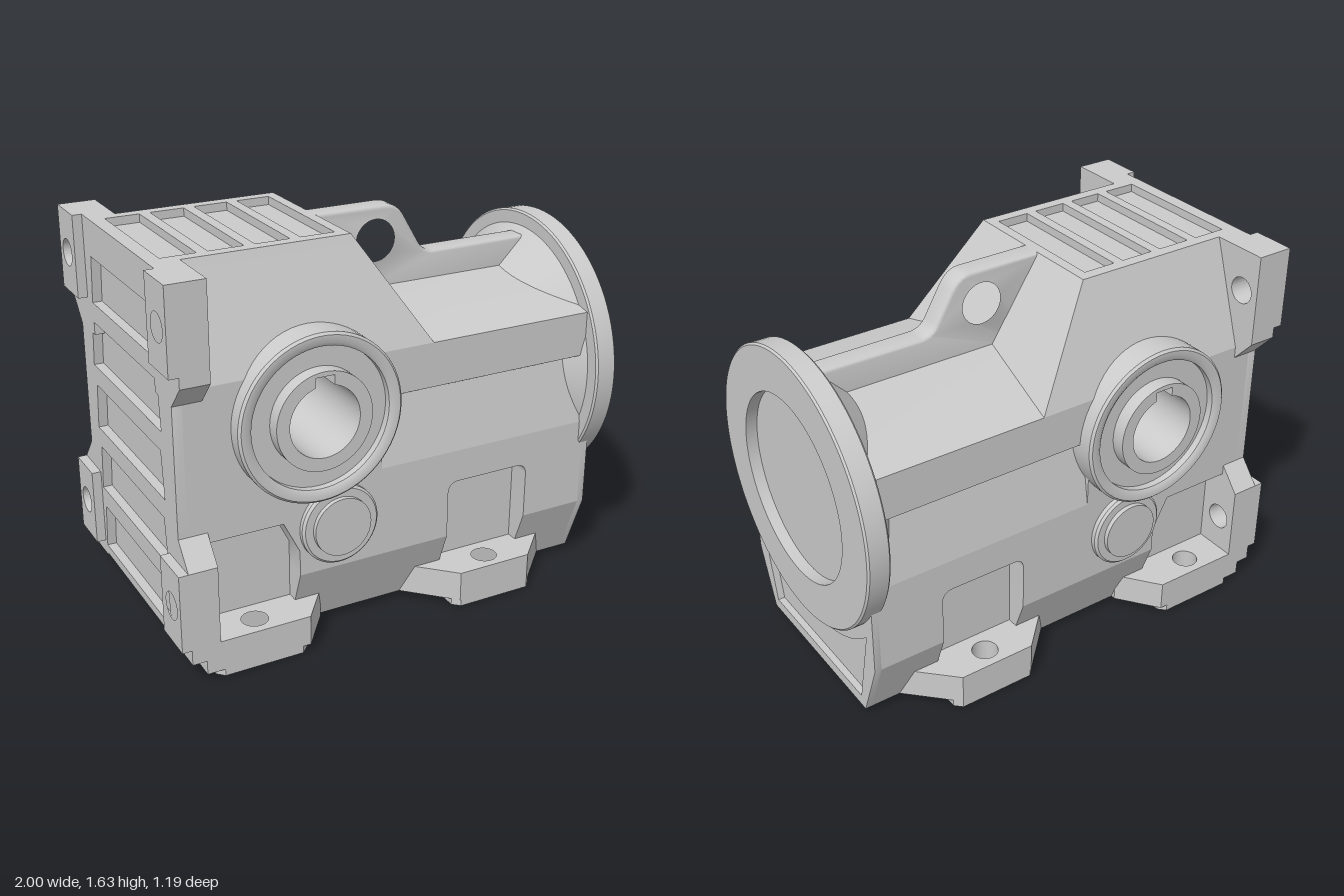
import * as THREE from 'three';
import { toCreasedNormals } from 'three/addons/utils/BufferGeometryUtils.js';
import { ConvexGeometry } from 'three/addons/geometries/ConvexGeometry.js';

const material = new THREE.MeshStandardMaterial({ color: 0xcccccc });

const circle = (x, y, r) => new THREE.Path().absarc(x, y, r, 0, Math.PI * 2, true);
const poly = (pts) => new THREE.Path(pts.map(([x, y]) => new THREE.Vector2(x, y)));
const rect = (x0, y0, x1, y1) => poly([[x0, y0], [x1, y0], [x1, y1], [x0, y1], [x0, y0]]);
// full outline from its +z half
const mirrored = (half) => [...half, ...half.map(([z, y]) => [-z, y]).reverse()];

function shapeOf(pts, holes = []) {
  const s = new THREE.Shape(pts.map(([x, y]) => new THREE.Vector2(x, y)));
  s.holes.push(...holes);
  return s;
}

export function createModel() {
  const model = new THREE.Group();

  function add(name, geometry) {
    const mesh = new THREE.Mesh(toCreasedNormals(geometry, 0.6), material);
    mesh.name = name;
    model.add(mesh);
    return mesh;
  }
  const extrude = (shape, depth) =>
    new THREE.ExtrudeGeometry(shape, { depth, bevelEnabled: false, curveSegments: 32 });
  const alongZ = (shape, z0, z1) => extrude(shape, z1 - z0).translate(0, 0, z0);
  const alongX = (shape, x0, x1) => extrude(shape, x1 - x0).rotateY(Math.PI / 2).translate(x0, 0, 0);
  const alongY = (shape, y0, y1) => extrude(shape, y1 - y0).rotateX(Math.PI / 2).translate(0, y1, 0);

  // Lower core with a rounded notch under the left end
  const core = new THREE.Shape();
  core.moveTo(-0.89, 0.03).lineTo(0.92, 0.03).lineTo(0.92, 0.7).lineTo(-0.92, 0.7).lineTo(-0.92, 0.1);
  core.quadraticCurveTo(-0.89, 0.09, -0.89, 0.06);
  add('lowerCore', alongZ(core, -0.4, 0.4));

  // Middle housing around the bore, and the recessed section towards the flange
  const hx = -0.38, hy = 0.995;
  add('middleHousing', alongZ(shapeOf(
    [[-0.92, 0.69], [-0.08, 0.69], [-0.08, 1.19], [-0.92, 1.19]], [circle(hx, hy, 0.19)]), -0.5, 0.5));
  add('neckHousing', alongX(shapeOf(mirrored(
    [[0.5, 0.69], [0.45, 0.975], [0.5, 1.0], [0.5, 1.19], [0.05, 1.29]])), -0.1, 0.92));

  // Tapered upper block
  const upper = [];
  for (const s of [-1, 1]) {
    for (const [x, y, z] of [[-0.92, 1.19, 0.5], [0.15, 1.19, 0.5], [-0.92, 1.6, 0.357], [-0.117, 1.6, 0.357]])
      upper.push(new THREE.Vector3(x, y, s * z));
  }
  add('upperBlock', new ConvexGeometry(upper));

  // Top cover with four shallow pockets, flared to meet the block
  const pockets = [-0.9, -0.71, -0.52, -0.33].map((x) => rect(x, -0.295, x + 0.145, 0.295));
  const cover = alongY(shapeOf([[-0.96, -0.345], [-0.14, -0.345], [-0.14, 0.345], [-0.96, 0.345]], pockets), 1.6, 1.635);
  const p = cover.attributes.position;
  for (let i = 0; i < p.count; i++) {
    if (p.getY(i) > 1.61) continue;
    if (Math.abs(p.getZ(i)) > 0.32) p.setZ(i, p.getZ(i) * 1.035);
    if (p.getX(i) > -0.16) p.setX(i, -0.117);
  }
  add('topCover', cover);

  // Left end wall with horizontal slots
  const slots = [0, 1, 2, 3, 4].map((i) => {
    const y = 0.24 + i * 0.285, w = y > 1.3 ? 0.34 : 0.38;
    return poly([[-w, y - 0.1], [w, y - 0.1], [w - 0.02, y + 0.1], [-w + 0.02, y + 0.1], [-w, y - 0.1]]);
  });
  add('slottedEndWall', alongX(shapeOf(mirrored(
    [[0.4, 0.1], [0.4, 0.57], [0.5, 0.57], [0.5, 1.19], [0.357, 1.6]]), slots), -0.96, -0.92));

  // Right end frame around a recessed panel
  const panel = new THREE.Path();
  panel.moveTo(-0.37, 0.08).lineTo(0.37, 0.08).lineTo(0.447, 0.442);
  panel.absarc(0, 0.907, 0.645, -0.805, -Math.PI + 0.805, true);
  panel.lineTo(-0.37, 0.08);
  add('endFrame', alongX(shapeOf(mirrored([[0.4, 0.03], [0.5, 0.3], [0.5, 0.6]]), [panel]), 0.92, 0.95));

  // Lifting rib with eye
  const rib = new THREE.Shape();
  rib.moveTo(-0.16, 1.2).lineTo(-0.16, 1.62).lineTo(0.18, 1.62).quadraticCurveTo(0.23, 1.62, 0.26, 1.57);
  rib.lineTo(0.33, 1.45).quadraticCurveTo(0.36, 1.395, 0.42, 1.395);
  rib.lineTo(0.87, 1.395).lineTo(0.87, 1.2).lineTo(-0.16, 1.2);
  rib.holes.push(circle(0.135, 1.49, 0.09));
  add('liftingRib', new THREE.ExtrudeGeometry(rib, {
    depth: 0.07, bevelThickness: 0.015, bevelSize: 0.015, bevelSegments: 3, curveSegments: 24,
  }).translate(0, 0, -0.035));

  // Round flange with recessed face, and its cone
  const flange = [[0, 0.95], [0.4, 0.95], [0.4, 1], [0.585, 1], [0.593, 0.992], [0.593, 0.908], [0.585, 0.9], [0.53, 0.9], [0.37, 0.74], [0, 0.74]];
  add('flange', new THREE.LatheGeometry(flange.map(([r, h]) => new THREE.Vector2(r, h)).reverse(), 96)
    .rotateZ(-Math.PI / 2).translate(0, 0.907, 0));

  // Hollow shaft with keyway
  const bore = new THREE.Path();
  const a = Math.asin(0.04 / 0.15);
  bore.moveTo(0.04 + hx, hy + 0.185).lineTo(-0.04 + hx, hy + 0.185);
  bore.absarc(hx, hy, 0.15, Math.PI / 2 + a, Math.PI * 2.5 - a, false);
  bore.lineTo(0.04 + hx, hy + 0.185);
  const shaft = new THREE.Shape().absarc(hx, hy, 0.205, 0, Math.PI * 2, false);
  shaft.holes.push(bore);
  add('hollowShaft', alongZ(shaft, -0.59, 0.59));

  for (const s of [1, -1]) {
    const side = s > 0 ? 'front' : 'back';
    const turned = (profile, x, y) => new THREE.LatheGeometry(
      profile.map(([r, h]) => new THREE.Vector2(r, h)), 64).rotateX(s * Math.PI / 2).translate(x, y, 0);

    // Bearing boss and small cap
    add(side + 'BearingBoss', turned([[0.35, 0.36], [0.35, 0.56], [0.34, 0.57], [0.31, 0.57], [0.295, 0.56], [0.295, 0.53], [0.19, 0.53]], hx, hy));
    add(side + 'SideCap', turned([[0.17, 0.4], [0.17, 0.52], [0.16, 0.53], [0.125, 0.53], [0.125, 0.55], [0, 0.55]], -0.28, 0.5));

    // Side wall with two pockets above the feet
    const wall = new THREE.Shape();
    wall.moveTo(-0.92, 0.69).lineTo(-0.92, 0.55).lineTo(-0.52, 0.55).lineTo(-0.45, 0.41).lineTo(-0.45, 0.3);
    wall.lineTo(0.24, 0.3).lineTo(0.24, 0.5).quadraticCurveTo(0.24, 0.55, 0.29, 0.55);
    wall.lineTo(0.58, 0.55).quadraticCurveTo(0.63, 0.55, 0.63, 0.5).lineTo(0.63, 0.3);
    wall.lineTo(0.92, 0.3).lineTo(0.92, 0.69);
    add(side + 'SideWall', alongZ(wall, s > 0 ? 0.4 : -0.5, s > 0 ? 0.5 : -0.4));

    // alongX turns shape x into -z
    const zy = (pts, holes) => shapeOf(pts.map(([z, y]) => [-s * z, y]), holes);
    for (const [x0, x1] of [[-0.45, 0.24], [0.63, 0.92]])
      add(side + 'LowerTaper', alongX(zy([[0.4, 0.03], [0.5, 0.3], [0.4, 0.3]]), x0, x1));

    // Corner lugs with bolt holes and raised pads
    const upperHole = () => [circle(-s * 0.5, 1.455, 0.057)];
    const lowerHole = () => [circle(-s * 0.5, 0.32, 0.057)];
    add(side + 'UpperLug', alongX(zy(
      [[0.34, 1.14], [0.5, 1.14], [0.59, 1.24], [0.59, 1.635], [0.34, 1.635]], upperHole()), -0.96, -0.84));
    add(side + 'UpperLugPad', alongX(zy(
      [[0.4, 1.285], [0.59, 1.285], [0.59, 1.635], [0.4, 1.635]], upperHole()), -1, -0.96));
    add(side + 'LowerLug', alongX(zy(
      [[0.38, 0.09], [0.59, 0.09], [0.59, 0.49], [0.5, 0.595], [0.38, 0.595]], lowerHole()), -0.96, -0.84));
    add(side + 'LowerLugPad', alongX(zy(
      [[0.4, 0.155], [0.59, 0.155], [0.59, 0.49], [0.4, 0.49]], lowerHole()), -1, -0.96));

    // Feet with bolt holes and ground pads
    const feet = [
      [[[-0.9, 0.38], [-0.9, 0.59], [-0.45, 0.59], [-0.32, 0.42], [-0.32, 0.38]], -0.855, -0.455],
      [[[0.07, 0.38], [0.07, 0.4], [0.26, 0.59], [0.6, 0.59], [0.79, 0.4], [0.79, 0.38]], 0.235, 0.63],
    ];
    for (const [outline, x0, x1] of feet) {
      const hole = () => [circle((x0 + x1) / 2, s * 0.5, 0.055)];
      add(side + 'Foot', alongY(shapeOf(outline.map(([x, z]) => [x, s * z]), hole()), 0.03, 0.16));
      add(side + 'FootPad', alongY(shapeOf(
        [[x0, s * 0.4], [x1, s * 0.4], [x1, s * 0.56], [x1 - 0.03, s * 0.59], [x0 + 0.03, s * 0.59], [x0, s * 0.56]], hole()), 0, 0.03));
    }
  }
  return model;
}
